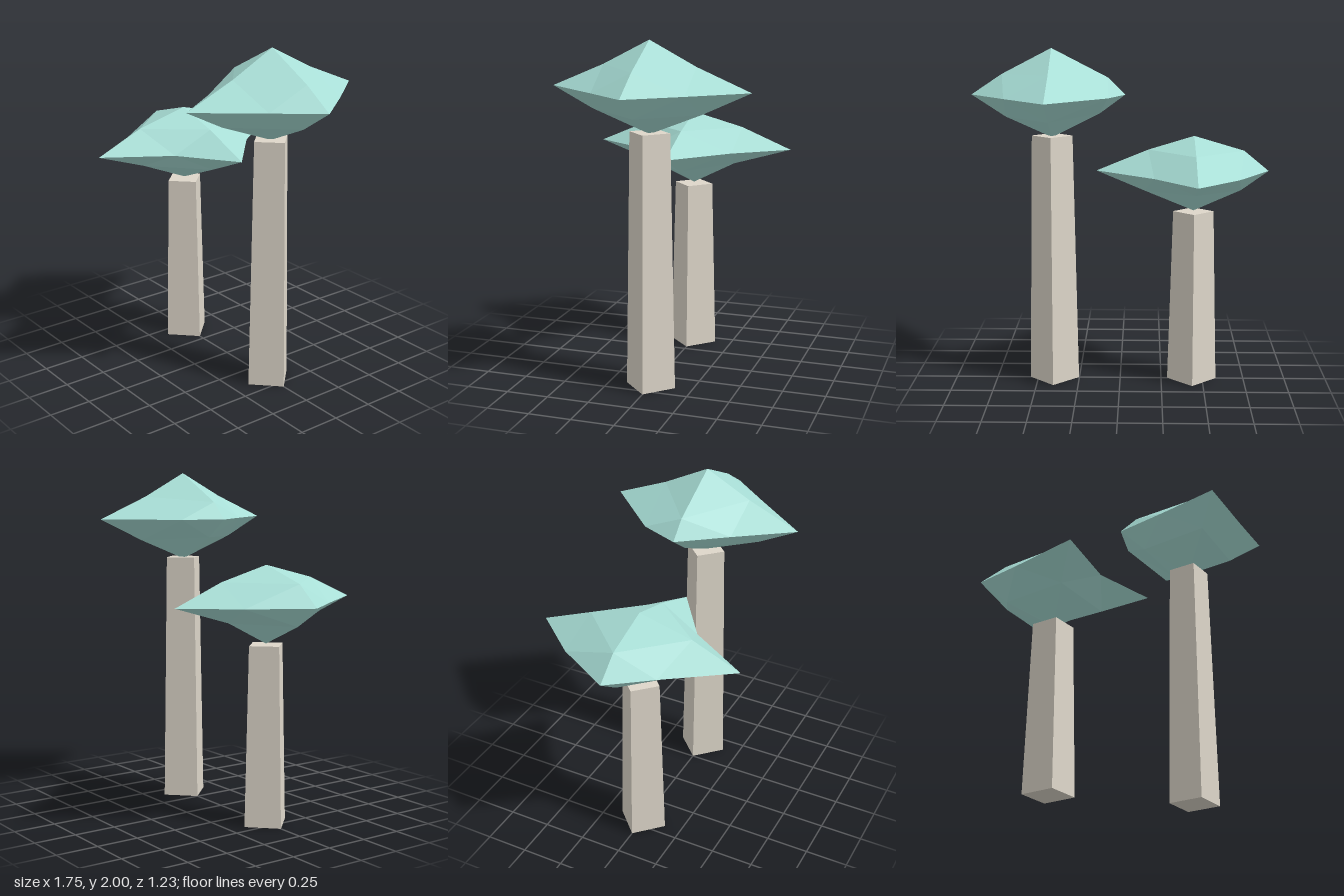
import * as THREE from 'three';

const trunkMat = new THREE.MeshStandardMaterial({ color: 0xddd6c9, flatShading: true });
const crownMat = new THREE.MeshStandardMaterial({ color: 0xa8ded6, flatShading: true });

// Faceted crown: an octahedron with every edge split once and its midpoint nudged.
// Keys are signs along the axes; each midpoint is given as its two in-plane offsets.
function crownGeometry({ x, y, z, xy, yz, zx }) {
  const pos = [];
  for (const sx of ['+', '-']) for (const sy of ['+', '-']) for (const sz of ['+', '-']) {
    const X = [x[sx], 0, 0], Y = [0, y[sy], 0], Z = [0, 0, z[sz]];
    const [ax, ay] = xy[sx + sy], [by, bz] = yz[sy + sz], [cz, cx] = zx[sz + sx];
    const XY = [ax, ay, 0], YZ = [0, by, bz], ZX = [cx, 0, cz];
    const mirrored = [sx, sy, sz].filter((s) => s === '-').length % 2 === 1;
    for (const [a, b, c] of [[X, XY, ZX], [XY, Y, YZ], [ZX, YZ, Z], [XY, YZ, ZX]]) {
      pos.push(...a, ...(mirrored ? c : b), ...(mirrored ? b : c));
    }
  }
  const g = new THREE.BufferGeometry();
  g.setAttribute('position', new THREE.Float32BufferAttribute(pos, 3));
  g.computeVertexNormals();
  return g;
}

function makeTree(name, x, trunkHeight, crownY, shape) {
  const tree = new THREE.Group();
  tree.name = name;
  tree.position.x = x;

  // Tapered four-sided trunk, set cornerwise
  const trunk = new THREE.Mesh(new THREE.CylinderGeometry(0.12, 0.148, trunkHeight, 4), trunkMat);
  trunk.name = 'trunk';
  trunk.position.y = trunkHeight / 2;

  const crown = new THREE.Mesh(crownGeometry(shape), crownMat);
  crown.name = 'crown';
  crown.position.y = crownY;

  tree.add(trunk, crown);
  return tree;
}

export function createModel() {
  const model = new THREE.Group();
  model.name = 'trees';

  model.add(makeTree('tallTree', 0.4, 1.49, 1.73, {
    x: { '+': 0.47, '-': -0.43 },
    y: { '+': 0.27, '-': -0.25 },
    z: { '+': 0.575, '-': -0.58 },
    xy: { '++': [0.29, 0.12], '+-': [0.27, -0.13], '-+': [-0.33, 0.1], '--': [-0.28, -0.11] },
    yz: { '++': [0.13, 0.27], '+-': [0.13, -0.27], '-+': [-0.12, 0.34], '--': [-0.13, -0.3] },
    zx: { '++': [0.24, 0.27], '+-': [0.26, -0.23], '-+': [-0.28, 0.25], '--': [-0.23, -0.335] },
  }));

  model.add(makeTree('shortTree', -0.435, 1.04, 1.283, {
    x: { '+': 0.575, '-': -0.44 },
    y: { '+': 0.207, '-': -0.238 },
    z: { '+': 0.61, '-': -0.615 },
    xy: { '++': [0.27, 0.125], '+-': [0.29, -0.12], '-+': [-0.295, 0.12], '--': [-0.28, -0.115] },
    yz: { '++': [0.125, 0.32], '+-': [0.125, -0.31], '-+': [-0.11, 0.3], '--': [-0.105, -0.26] },
    zx: { '++': [0.235, 0.24], '+-': [0.24, -0.26], '-+': [-0.305, 0.235], '--': [-0.335, -0.245] },
  }));

  return model;
}
